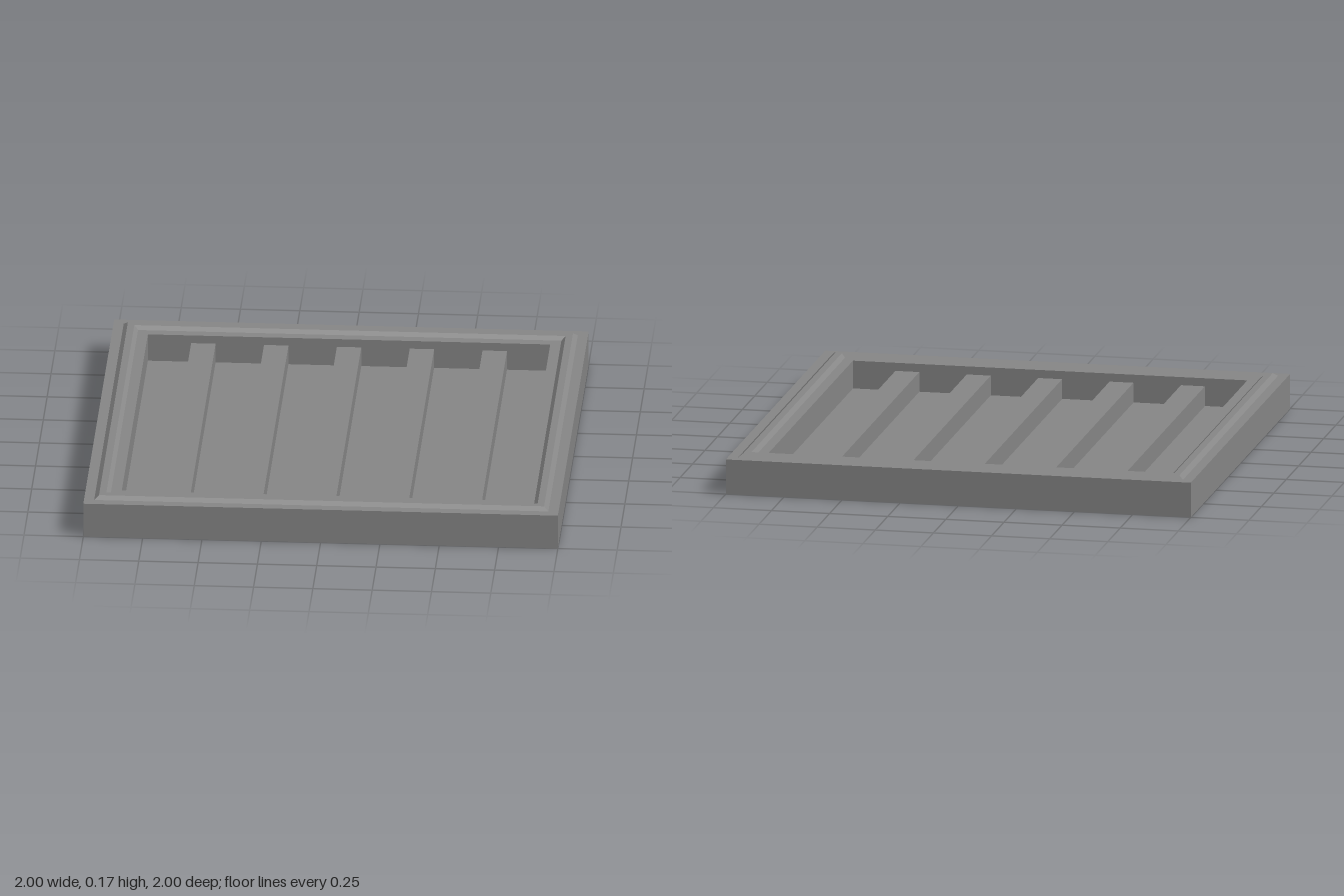
import * as THREE from 'three';

const material = new THREE.MeshStandardMaterial({ color: 0x878787, flatShading: true });
const FLOOR = 0.03, RIM = 0.15, BEAD = 0.165, INNER = 0.848;

// Sweeps a [half width, height] profile around a square
function squareSweep(profile) {
  const points = profile.map(([r, y]) => new THREE.Vector2(r * Math.SQRT2, y));
  const geometry = new THREE.LatheGeometry(points, 4, Math.PI / 4).toNonIndexed();
  geometry.computeVertexNormals();
  return geometry;
}

export function createModel() {
  const model = new THREE.Group();
  model.name = 'ribbedTray';

  // Square tray: underside, outer wall, raised bevelled bead, inner wall, floor
  const tray = new THREE.Mesh(squareSweep([
    [0, 0], [1, 0], [1, RIM],
    [0.957, RIM], [0.938, BEAD], [0.909, BEAD], [0.892, RIM],
    [INNER, RIM], [INNER, FLOOR], [0, FLOOR],
  ]), material);
  tray.name = 'tray';
  model.add(tray);

  // Five evenly spaced ribs running front to back across the floor
  const ribHeight = 0.085;
  const ribGeometry = new THREE.BoxGeometry(0.103, ribHeight, INNER * 2);
  for (let i = -2; i <= 2; i++) {
    const rib = new THREE.Mesh(ribGeometry, material);
    rib.name = `rib${i + 3}`;
    rib.position.set(i * 0.307, FLOOR + ribHeight / 2, 0);
    model.add(rib);
  }
  return model;
}
